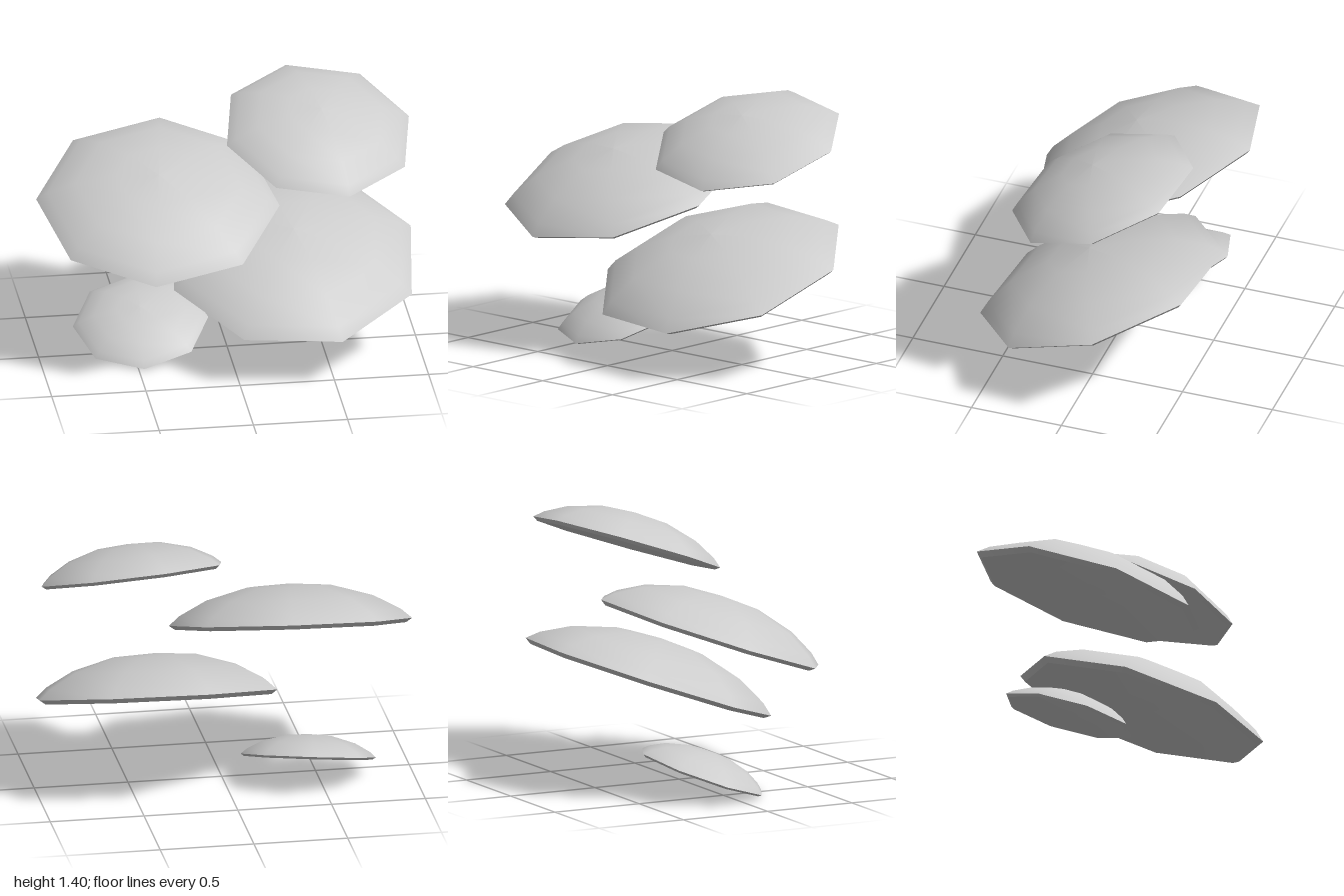
import * as THREE from 'three';

// Unit cap profile (radius 1), each list running from below outward and up
const PROFILE = {
  stemScar: [[0, 0.04], [0.135, 0.04]],
  gills: [[0.135, 0.04], [0.95, -0.034]],
  lip: [[0.95, -0.034], [1, 0]],
  dome: [[1, 0], [0.91, 0.078], [0.685, 0.198], [0.345, 0.294], [0, 0.316]],
};
const SIDES = 8;

// Rim centre, radius, rise of the rim per unit of x and z, and first corner's angle in degrees
const CAPS = [
  { name: 'leftCap', at: [-0.365, 0.857, -0.01], r: 0.64, slope: [0.025, -0.352], turn: 8.5 },
  { name: 'lowerRightCap', at: [0.347, 0.495, 0], r: 0.677, slope: [0.012, -0.357], turn: -15.5 },
  { name: 'topRightCap', at: [0.49, 1.197, -0.053], r: 0.51, slope: [-0.07, -0.357], turn: -12.5 },
  { name: 'smallCap', at: [-0.445, 0.132, -0.097], r: 0.357, slope: [0.093, -0.35], turn: 5 },
];

export function createModel() {
  const model = new THREE.Group();
  model.name = 'shelfFungus';
  const grey = new THREE.MeshStandardMaterial({ color: 0xcccccc });
  grey.name = 'pale grey';

  // Separate surfaces keep the rim sharp and the dome smooth
  const surfaces = Object.entries(PROFILE).map(([name, points]) => [
    name,
    new THREE.LatheGeometry(points.map(([x, y]) => new THREE.Vector2(x, y)), SIDES),
  ]);

  const up = new THREE.Vector3(0, 1, 0);
  for (const { name, at, r, slope, turn } of CAPS) {
    const cap = new THREE.Group();
    cap.name = name;
    for (const [part, geometry] of surfaces) {
      const mesh = new THREE.Mesh(geometry, grey);
      mesh.name = part;
      cap.add(mesh);
    }
    // Tilt the cap forward, after turning it about its own axis
    const normal = new THREE.Vector3(-slope[0], 1, -slope[1]).normalize();
    const spin = new THREE.Quaternion().setFromAxisAngle(up, -THREE.MathUtils.degToRad(turn));
    cap.quaternion.setFromUnitVectors(up, normal).multiply(spin);
    cap.scale.setScalar(r);
    cap.position.set(...at);
    model.add(cap);
  }
  return model;
}
